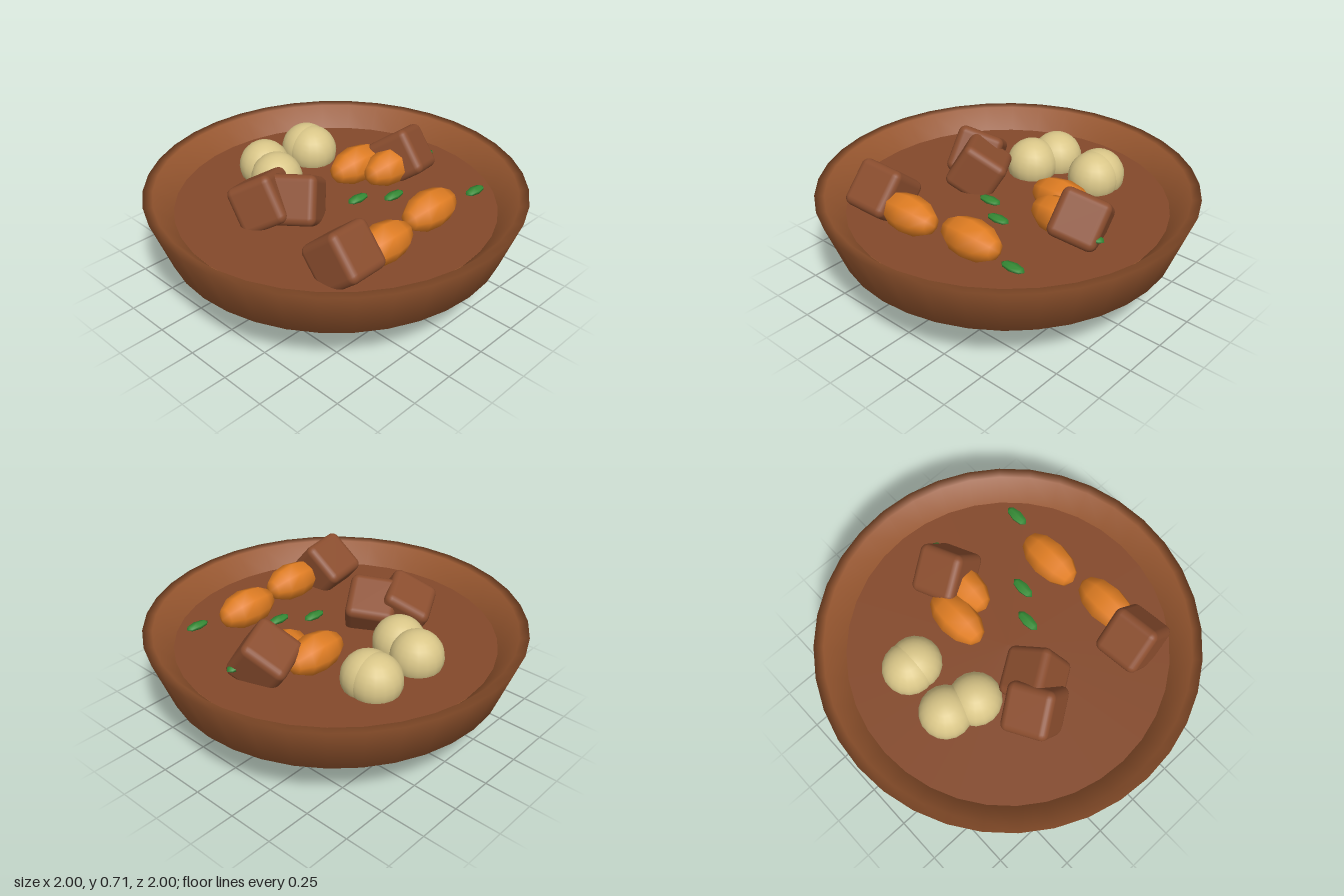
import * as THREE from 'three';
import { RoundedBoxGeometry } from 'three/addons/geometries/RoundedBoxGeometry.js';

const mat = (name, color, side = THREE.FrontSide) => {
  const m = new THREE.MeshStandardMaterial({ color, side });
  m.name = name;
  return m;
};

export function createModel() {
  const clay = mat('clay', 0x96562f, THREE.DoubleSide);
  const broth = mat('broth', 0x84492b);
  const beef = mat('beef', 0x8a4d2e);
  const carrot = mat('carrot', 0xe07d22);
  const potato = mat('potato', 0xd9c688);
  const herb = mat('herb', 0x358a35);

  const model = new THREE.Group();
  model.name = 'bowlOfStew';

  const add = (name, geometry, material, [x, y, z], rotation = [0, 0, 0]) => {
    const mesh = new THREE.Mesh(geometry, material);
    mesh.name = name;
    mesh.position.set(x, y, z);
    mesh.rotation.set(...rotation, 'YXZ');
    model.add(mesh);
    return mesh;
  };

  // Bowl: outside from the base up to the rim, then down the inner wall
  const profile = [
    [0, 0], [0.55, 0], [0.62, 0.07], [0.9, 0.28], [1, 0.555],
    [0.95, 0.55], [0.84, 0.43], [0.8, 0.33], [0, 0.3],
  ].map(([r, y]) => new THREE.Vector2(r, y));
  add('bowl', new THREE.LatheGeometry(profile, 36), clay, [0, 0, 0]);

  // Broth surface
  const surface = new THREE.CircleGeometry(0.85, 36).rotateX(-Math.PI / 2);
  add('brothSurface', surface, broth, [0, 0.445, 0]);

  // Meat cubes, each tipped so an edge or corner points up
  const cube = new RoundedBoxGeometry(0.26, 0.26, 0.26, 3, 0.04);
  [
    [[-0.365, 0.53, -0.155], [-0.5, 0.6, -0.3]],
    [[-0.245, 0.53, -0.04], [-0.55, -1.05, 0.1]],
    [[-0.435, 0.53, 0.48], [-0.7, 0.15, -0.1]],
    [[0.5, 0.53, 0.02], [-0.6, 0.5, -0.3]],
  ].forEach(([p, r]) => add('meatCube', cube, beef, p, r));

  // Potatoes
  const ball = new THREE.SphereGeometry(0.14, 18, 14);
  [[-0.065, 0.495, -0.49], [-0.115, 0.495, -0.335], [0.24, 0.495, -0.475], [0.24, 0.495, -0.43]]
    .forEach((p) => add('potato', ball, potato, p));

  // Carrot chunks: coarse ellipsoids lying along x
  const chunk = new THREE.SphereGeometry(1, 8, 6).rotateZ(Math.PI / 2).scale(0.18, 0.105, 0.105);
  [[0.275, 0.51, -0.11], [0.39, 0.51, 0.035], [0.19, 0.51, 0.48], [-0.2, 0.51, 0.52]]
    .forEach((p) => add('carrotChunk', chunk, carrot, p));

  // Herb leaves: small flattened slivers
  const leaf = new THREE.SphereGeometry(1, 6, 4).rotateZ(Math.PI / 2).scale(0.07, 0.016, 0.033);
  [[0.01, 0.512, 0.15], [0.165, 0.512, 0.26], [0.5, 0.512, 0.53], [0.62, 0.512, 0.085]]
    .forEach((p) => add('herbLeaf', leaf, herb, p));

  return model;
}
